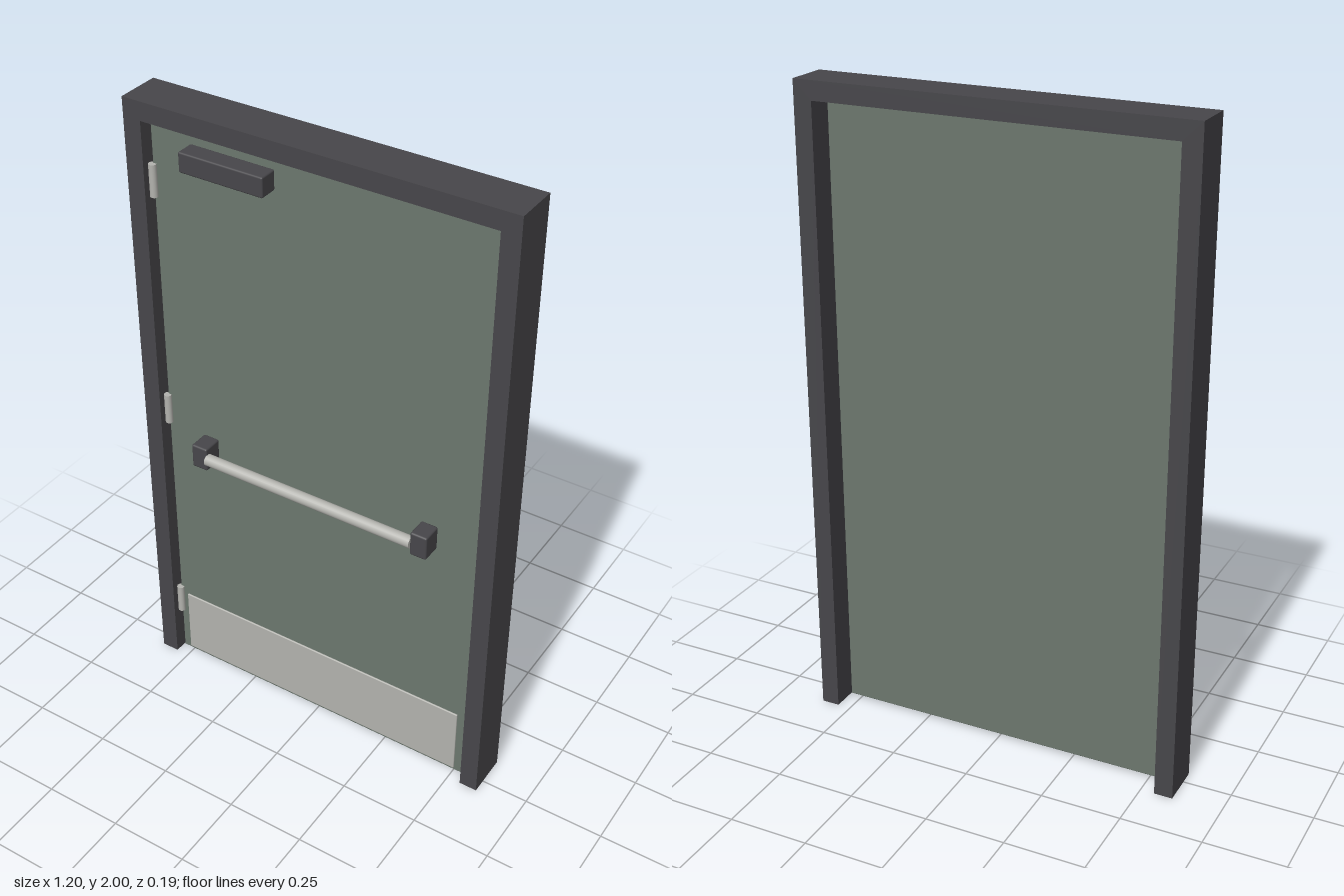
import * as THREE from 'three';
import { RoundedBoxGeometry } from 'three/addons/geometries/RoundedBoxGeometry.js';

export function createModel() {
  const door = new THREE.Group();
  door.name = 'door';

  const material = (name, color) => {
    const m = new THREE.MeshStandardMaterial({ color });
    m.name = name;
    return m;
  };
  const darkMetal = material('dark metal', 0x47464a);
  const greenPaint = material('grey green paint', 0x6c776e);
  const steel = material('brushed steel', 0xb3b3ae);

  const add = (name, geometry, mat, x = 0, y = 0, z = 0) => {
    const mesh = new THREE.Mesh(geometry, mat);
    mesh.name = name;
    mesh.position.set(x, y, z);
    door.add(mesh);
    return mesh;
  };
  // Softened box given by its limits on each axis
  const block = (name, mat, [x0, x1], [y0, y1], [z0, z1], radius) =>
    add(name, new RoundedBoxGeometry(x1 - x0, y1 - y0, z1 - z0, 2, radius), mat,
      (x0 + x1) / 2, (y0 + y1) / 2, (z0 + z1) / 2);

  // Frame: two jambs and a header in one piece, open at the floor
  const outline = new THREE.Shape([
    [-0.6, 0], [-0.543, 0], [-0.543, 1.943], [0.543, 1.943],
    [0.543, 0], [0.6, 0], [0.6, 2], [-0.6, 2],
  ].map(([x, y]) => new THREE.Vector2(x, y)));
  add('frame', new THREE.ExtrudeGeometry(outline, { depth: 0.138, bevelEnabled: false }),
    darkMetal, 0, 0, -0.093);

  // Door leaf, set inside the frame with a narrow gap
  const front = 0.015;
  block('doorLeaf', greenPaint, [-0.533, 0.533], [0.01, 1.933], [-0.027, front], 0.003);

  // Kick plate along the bottom
  block('kickPlate', steel, [-0.505, 0.505], [0.02, 0.252], [front - 0.002, front + 0.005], 0.003);

  // Door closer housing
  block('doorCloser', darkMetal, [-0.4, -0.13], [1.843, 1.904], [front, 0.074], 0.005);

  // Push bar between two brackets
  for (const side of [-1, 1]) {
    const bracket = block('pushBarBracket', darkMetal, [0.35, 0.404], [0.865, 0.944], [front, 0.081], 0.006);
    bracket.position.x *= side;
  }
  const bar = add('pushBar', new THREE.CylinderGeometry(0.0185, 0.0185, 0.704, 24),
    steel, 0, 0.905, 0.074);
  bar.rotation.z = Math.PI / 2;

  // Hinge knuckles on the right-hand edge of the leaf
  for (const y of [0.225, 0.993, 1.76])
    add('hinge', new THREE.CylinderGeometry(0.012, 0.012, 0.1, 16), steel, -0.531, y, 0.02);

  return door;
}
